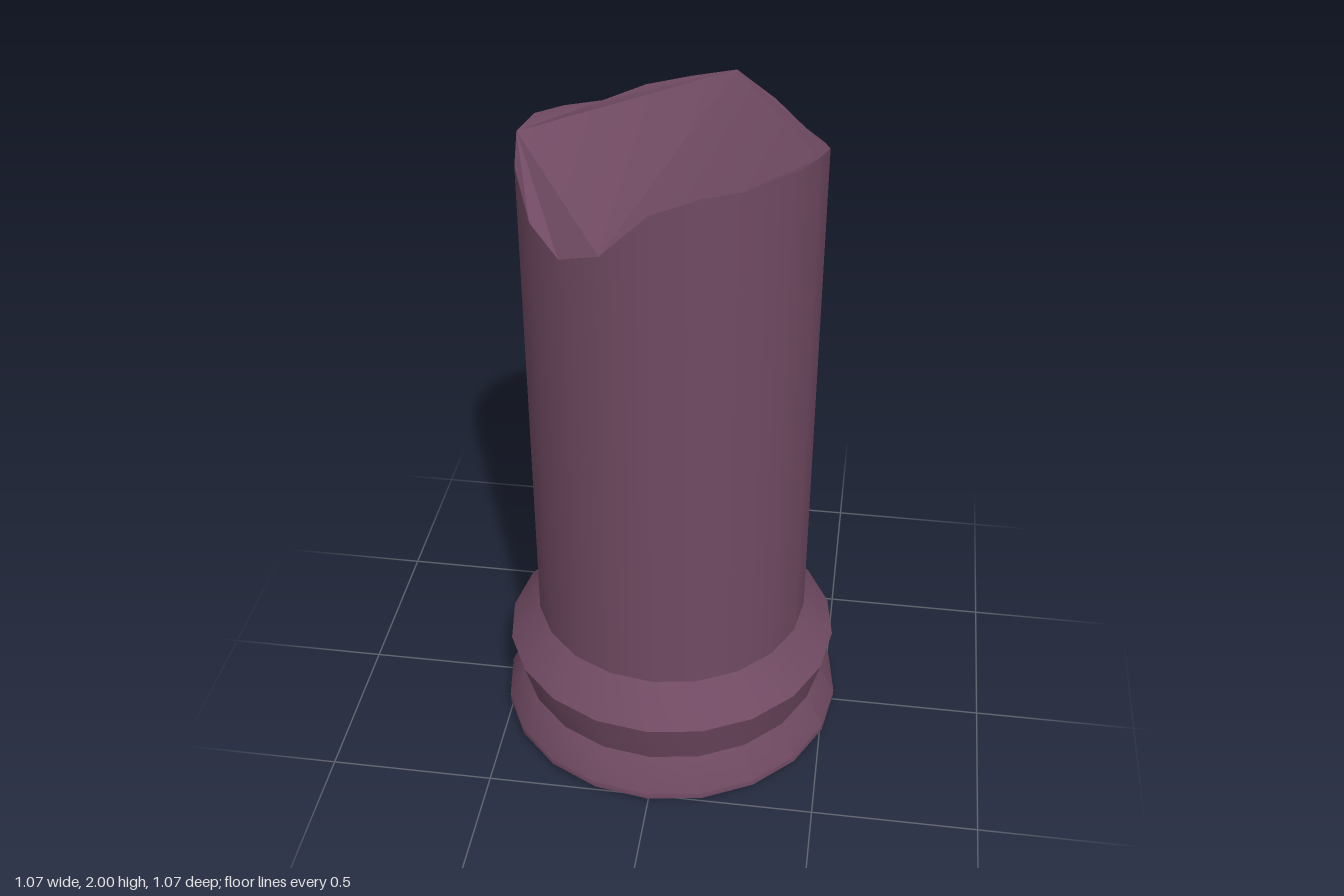
import * as THREE from 'three';
import { toCreasedNormals } from 'three/addons/utils/BufferGeometryUtils.js';

const SIDES = 20;
const RADIUS = 0.42;
const FOOT = 0.4;

// Height of the broken rim at each corner, going from +x towards +z
const RIM = [
  1.965, 2, 2, 2, 2, 1.955, 1.82, 1.77, 1.82, 1.92,
  1.96, 1.955, 1.93, 1.91, 1.94, 1.965, 2, 1.945, 1.905, 1.92,
];

function rimPoint(k) {
  const a = (k / SIDES) * Math.PI * 2;
  return [RADIUS * Math.cos(a), RIM[k], RADIUS * Math.sin(a)];
}

// Open shaft whose top corners follow the broken rim
function shaftGeometry() {
  const geo = new THREE.CylinderGeometry(RADIUS, RADIUS, 1, SIDES, 1, true);
  const p = geo.attributes.position;
  for (let i = 0; i < p.count; i++) {
    const turn = Math.atan2(p.getZ(i), p.getX(i)) / (Math.PI * 2);
    const k = (Math.round(turn * SIDES) + SIDES) % SIDES;
    p.setY(i, p.getY(i) > 0 ? RIM[k] : FOOT);
  }
  return geo;
}

// Fracture surface: facets fanned out from a corner of each region
function fractureGeometry() {
  const regions = [
    [6, 1, 2, 3, 4, 5],
    [10, 6, 7, 8, 9],
    [13, 14, 15, 16, 10, 11, 12],
    [18, 19, 0, 1, 16, 17],
    [16, 1, 6, 10],
  ];
  const positions = [];
  for (const [hub, ...rest] of regions) {
    for (let i = 0; i < rest.length - 1; i++) {
      positions.push(...rimPoint(hub), ...rimPoint(rest[i + 1]), ...rimPoint(rest[i]));
    }
  }
  const geo = new THREE.BufferGeometry();
  geo.setAttribute('position', new THREE.Float32BufferAttribute(positions, 3));
  return toCreasedNormals(geo, 0.6);
}

// Moulded base: flared foot, narrow waist and sloping collar
function baseGeometry() {
  const profile = [
    [0, 0], [0.47, 0], [0.533, 0.02], [0.533, 0.04],
    [0.475, 0.14], [0.515, 0.285], [RADIUS, FOOT],
  ].map(([r, y]) => new THREE.Vector2(r, y));
  return toCreasedNormals(new THREE.LatheGeometry(profile, SIDES), 0.6);
}

export function createModel() {
  const stone = new THREE.MeshStandardMaterial({ color: 0x704a62 });
  stone.name = 'plum stone';

  const group = new THREE.Group();
  group.name = 'brokenColumn';
  const add = (name, geo) => {
    const mesh = new THREE.Mesh(geo, stone);
    mesh.name = name;
    group.add(mesh);
  };
  add('base', baseGeometry());
  add('shaft', shaftGeometry());
  add('brokenTop', fractureGeometry());
  return group;
}
